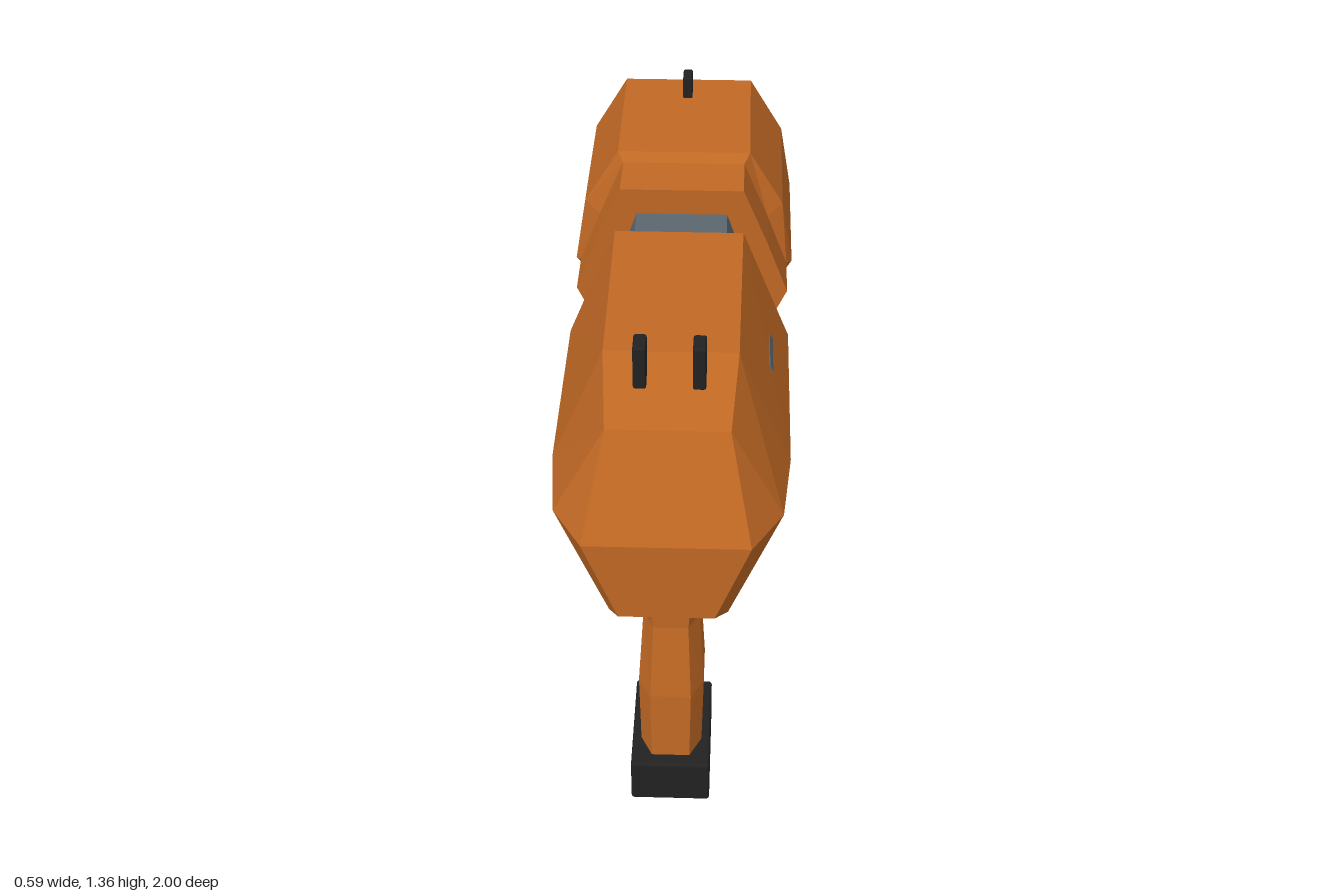
import * as THREE from 'three';
import { RoundedBoxGeometry } from 'three/addons/geometries/RoundedBoxGeometry.js';

const flat = (name, color) => Object.assign(new THREE.MeshStandardMaterial({ color }), { name });

// Half outline (right side, top to bottom) placed at depth z
const at = (z, pts) => pts.map(([x, y]) => [x, y, z]);

// Mirrored loft through half outlines; pick(section, edge) chooses the material index
function loft(name, halves, mats, pick = () => 0) {
  const rings = halves.map(h => [...h, ...h.map(([x, y, z]) => [-x, y, z]).reverse()]);
  const n = rings[0].length;
  const buckets = mats.map(() => []);
  const quad = (m, a, b, c, d) => buckets[m].push(...a, ...b, ...c, ...a, ...c, ...d);
  for (let s = 0; s < rings.length - 1; s++) {
    for (let i = 0; i < n; i++) {
      const j = (i + 1) % n, a = rings[s], b = rings[s + 1];
      quad(pick(s, Math.min(i, n - 2 - i)), a[i], b[i], b[j], a[j]);
    }
  }
  // End caps as mirrored strips
  const first = rings[0], last = rings[rings.length - 1];
  for (let i = 0; i < n / 2 - 1; i++) {
    const l = n - 1 - i;
    quad(0, last[i], last[l], last[l - 1], last[i + 1]);
    quad(0, first[i + 1], first[l - 1], first[l], first[i]);
  }
  const geo = new THREE.BufferGeometry();
  geo.setAttribute('position', new THREE.Float32BufferAttribute(buckets.flat(), 3));
  let start = 0;
  buckets.forEach((b, m) => {
    geo.addGroup(start, b.length / 3, m);
    start += b.length / 3;
  });
  geo.computeVertexNormals();
  const mesh = new THREE.Mesh(geo, mats);
  mesh.name = name;
  return mesh;
}

export function createModel() {
  const group = new THREE.Group();
  const orange = flat('orange shell', 0xc06824);
  const black = flat('black trim', 0x222222);
  const grey = flat('grey metal', 0x5a666e);

  const add = (name, geo, mat, x = 0, y = 0, z = 0, parent = group) => {
    const mesh = new THREE.Mesh(geo, mat);
    mesh.name = name;
    mesh.position.set(x, y, z);
    parent.add(mesh);
    return mesh;
  };

  // Rear body with faceted end
  group.add(loft('rearBody', [
    at(0.14, [[0.16, 1.285], [0.28, 0.985], [0.14, 0.675]]),
    at(0.67, [[0.155, 1.285], [0.28, 0.985], [0.14, 0.69]]),
    at(0.875, [[0.14, 1.215], [0.262, 0.985], [0.14, 0.69]]),
    [[0.14, 1.215, 0.876], [0.19, 0.985, 1], [0.11, 0.78, 1]],
  ], [orange]));

  // Grey core between the shells
  const core = [[0.118, 1.215], [0.2, 0.975], [0.11, 0.72]];
  group.add(loft('core', [at(-0.08, core), at(0.15, core)], [grey]));

  // Front shell: stepped collar, then larger housing with dark undercut and belly
  const collar = [[0.16, 1.285], [0.225, 1.13], [0.28, 0.985], [0.245, 0.91], [0.16, 0.72], [0.14, 0.69]];
  const housing = [[0.175, 1.3], [0.265, 1.15], [0.295, 0.97], [0.225, 0.88], [0.135, 0.6], [0.08, 0.55]];
  group.add(loft('frontShell',
    [at(-0.68, housing), at(-0.25, housing), at(-0.215, collar), at(-0.07, collar)],
    [orange, black],
    (s, k) => (k === 2 && s !== 1) || (k >= 4 && s === 0) ? 1 : 0));

  // Tapered nose and hollow octagonal muzzle
  group.add(loft('nose', [
    at(-0.84, [[0.07, 1.12], [0.122, 0.97], [0.07, 0.82]]),
    at(-0.68, [[0.11, 1.21], [0.167, 0.97], [0.1, 0.72]]),
  ], [black]));
  const octagon = r => Array.from({ length: 8 }, (_, i) => {
    const a = (i + 0.5) * Math.PI / 4;
    return new THREE.Vector2(r * Math.cos(a), r * Math.sin(a));
  });
  const tube = new THREE.Shape(octagon(0.074));
  tube.holes.push(new THREE.Path(octagon(0.048)));
  add('muzzle', new THREE.ExtrudeGeometry(tube, { depth: 0.16, bevelEnabled: false }), black, 0, 0.97, -1);

  // Grip: chamfered outlines [y, half width, rear z, front z] from top to bottom
  group.add(loft('grip', [
    [0.7, 0.135, 0.84, 0.45],
    [0.655, 0.105, 0.78, 0.52],
    [0.61, 0.08, 0.75, 0.525],
    [0.52, 0.07, 0.75, 0.54],
    [0.32, 0.082, 0.785, 0.56],
    [0.11, 0.077, 0.795, 0.565],
  ].map(([y, w, r, f]) => [
    [w * 0.62, y, r], [w, y, r - 0.06], [w, y, f + 0.05], [w * 0.62, y, f],
  ]), [orange]));
  add('gripBase', new RoundedBoxGeometry(0.2, 0.125, 0.31, 2, 0.008), black, 0, 0.0625, 0.675);

  // Trigger guard, drawn in side profile (z, y) and extruded across x
  const guard = new THREE.Shape([
    [0.57, 0.485], [0.375, 0.54], [0.34, 0.69], [0.4, 0.69], [0.41, 0.58], [0.57, 0.535],
  ].map(([z, y]) => new THREE.Vector2(-z, y)));
  const guardGeo = new THREE.ExtrudeGeometry(guard, { depth: 0.08, bevelEnabled: false });
  guardGeo.translate(0, 0, -0.04).rotateY(Math.PI / 2);
  add('triggerGuard', guardGeo, orange);

  // Sights
  for (const x of [-0.067, 0.067]) {
    add('rearSight', new RoundedBoxGeometry(0.03, 0.11, 0.062, 2, 0.006), black, x, 1.305, 0.74);
  }
  add('frontSight', new RoundedBoxGeometry(0.026, 0.08, 0.06, 2, 0.006), black, 0, 1.32, -0.595);

  // Side slot on the left upper face
  const slot = add('sideSlot', new THREE.BoxGeometry(0.009, 0.02, 0.135), grey, 0.229, 1.11, 0.408);
  slot.rotation.z = Math.atan2(0.125, 0.3);

  // Framed panel on the left face of the core
  const panel = new THREE.Group();
  panel.name = 'corePanel';
  panel.position.set(0.152, 1.117, 0.037);
  panel.rotation.z = Math.atan2(0.082, 0.24);
  group.add(panel);
  for (const s of [-1, 1]) {
    add('panelRail', new THREE.BoxGeometry(0.009, 0.009, 0.17), grey, 0, s * 0.053, 0, panel);
    add('panelPost', new THREE.BoxGeometry(0.009, 0.115, 0.009), grey, 0, 0, s * 0.081, panel);
  }
  return group;
}
